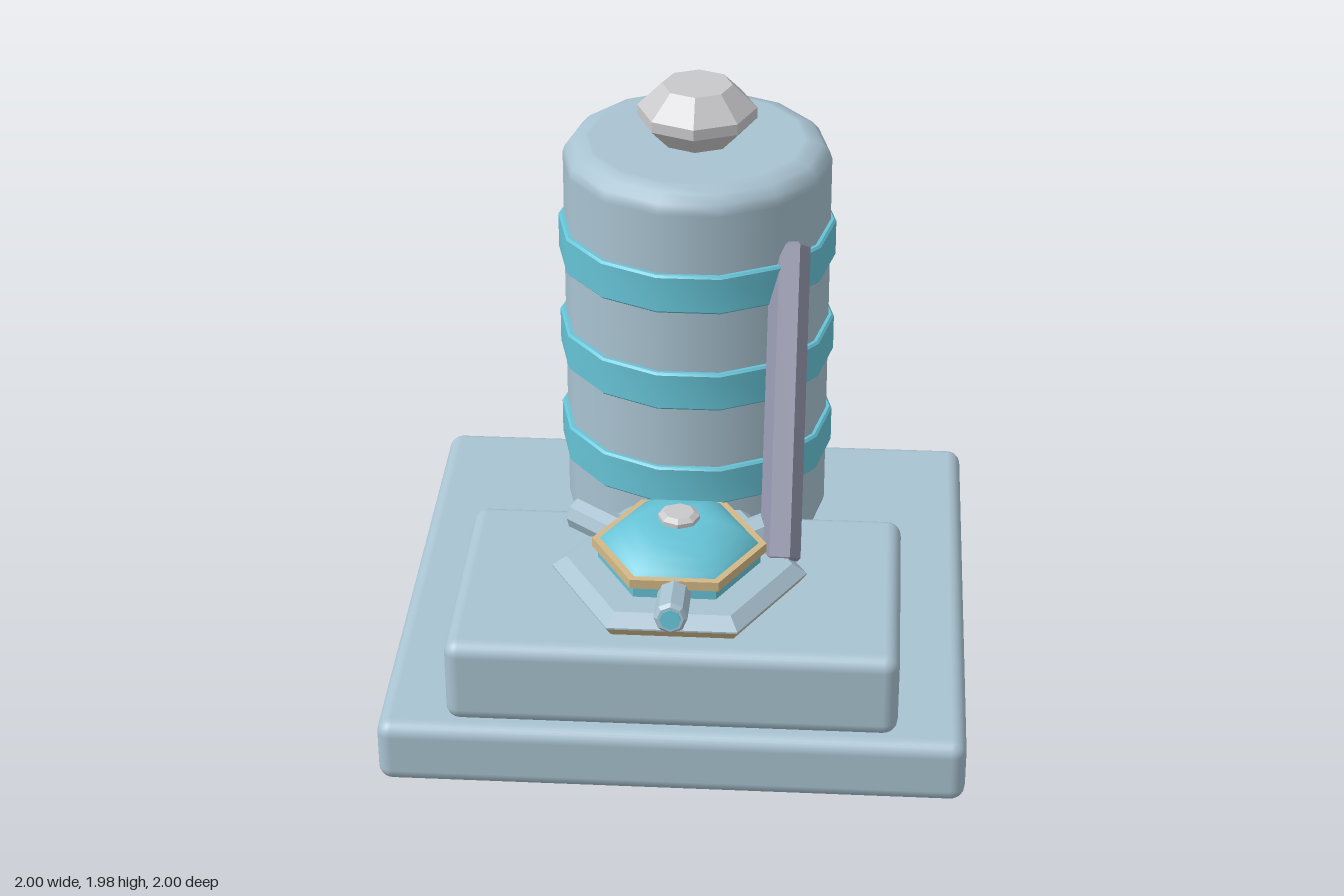
import * as THREE from 'three';
import { RoundedBoxGeometry } from 'three/addons/geometries/RoundedBoxGeometry.js';
import { toCreasedNormals } from 'three/addons/utils/BufferGeometryUtils.js';

const makeMaterial = (name, color) => {
  const m = new THREE.MeshStandardMaterial({ color });
  m.name = name;
  return m;
};

export function createModel() {
  const root = new THREE.Group();
  root.name = 'pumpStation';

  const casing = makeMaterial('pale blue casing', 0xa9c3d1);
  const teal = makeMaterial('teal', 0x66c3d6);
  const silver = makeMaterial('silver', 0xc9c9cc);
  const steel = makeMaterial('violet steel', 0x9193a9);
  const brass = makeMaterial('brass', 0xd3b988);

  const add = (parent, name, geometry, material, x = 0, y = 0, z = 0) => {
    const mesh = new THREE.Mesh(geometry, material);
    mesh.name = name;
    mesh.position.set(x, y, z);
    parent.add(mesh);
    return mesh;
  };

  // Profile of [radius, height] pairs turned with a corner on the x axis
  const turn = (profile, sides) => new THREE.LatheGeometry(
    profile.map(([r, y]) => new THREE.Vector2(r, y)), sides, Math.PI / 2);
  const faceted = (profile, sides) => toCreasedNormals(turn(profile, sides), 0.15);

  // Stepped foundation
  add(root, 'basePlate', new RoundedBoxGeometry(2, 0.235, 2, 3, 0.05), casing, 0, 0.1175, 0);
  add(root, 'plinth', new RoundedBoxGeometry(1.53, 0.31, 0.92, 3, 0.05), casing, 0, 0.388, 0.5);

  // Tank with rounded ends
  const tank = new THREE.Group();
  tank.name = 'tank';
  tank.position.z = -0.485;
  root.add(tank);
  add(tank, 'tankBody', turn([
    [0, 0.235], [0.385, 0.235], [0.4, 0.236], [0.45, 0.255], [0.475, 0.285], [0.48, 0.305],
    [0.48, 0.32], [0.48, 1.685], [0.48, 1.7], [0.472, 1.725], [0.445, 1.755], [0.4, 1.769],
    [0.385, 1.77], [0, 1.77],
  ], 14), casing);

  // Hoops around the tank
  for (const y of [0.62, 1.005, 1.39]) {
    add(tank, 'tankBand', toCreasedNormals(turn([
      [0.47, -0.073], [0.492, -0.073], [0.5, -0.065], [0.5, 0.065], [0.492, 0.073], [0.47, 0.073],
    ], 14), 0.6), teal, 0, y, 0);
  }

  // Faceted cap on the tank
  add(tank, 'tankCap', faceted([
    [0, 1.765], [0.13, 1.765], [0.212, 1.85], [0.212, 1.89], [0.125, 1.975], [0, 1.975],
  ], 8), silver);

  // Valve on a hexagonal flange
  const valve = new THREE.Group();
  valve.name = 'valve';
  valve.position.z = 0.495;
  root.add(valve);
  add(valve, 'flangeUnderside', faceted([
    [0, 0.535], [0.405, 0.535], [0.44, 0.578], [0, 0.578]], 6), brass);
  add(valve, 'flange', faceted([
    [0.42, 0.578], [0.44, 0.578], [0.44, 0.584], [0.39, 0.622], [0, 0.622]], 6), casing);
  add(valve, 'valveBody', faceted([[0.28, 0.615], [0.28, 0.67]], 6), teal);
  add(valve, 'valveRim', faceted([
    [0.26, 0.666], [0.3, 0.666], [0.3, 0.7], [0.26, 0.7]], 6), brass);
  add(valve, 'valveDome', turn([
    [0.277, 0.695], [0.26, 0.715], [0.22, 0.745], [0.16, 0.775], [0.1, 0.785], [0, 0.785],
  ], 6), teal);
  add(valve, 'valveButton', faceted([
    [0.05, 0.78], [0.072, 0.79], [0.072, 0.805], [0.052, 0.817], [0, 0.817]], 8), silver);

  // Three nozzles, tipped slightly upward
  for (let i = 0; i < 3; i++) {
    const arm = new THREE.Group();
    arm.name = 'nozzle';
    arm.rotation.y = i * Math.PI * 2 / 3;
    valve.add(arm);
    const spout = new THREE.Group();
    spout.name = 'spout';
    spout.position.set(0, 0.637, 0.2);
    spout.rotation.x = Math.PI / 2 - 0.13;
    arm.add(spout);
    add(spout, 'nozzlePipe', faceted([
      [0.057, 0], [0.057, 0.235], [0.045, 0.247], [0, 0.247]], 8), casing);
    add(spout, 'nozzleTip', faceted([
      [0.036, 0.246], [0.036, 0.252], [0, 0.252]], 8), teal);
  }

  // Slanted pipe leaning from the flange to the tank
  const foot = new THREE.Vector3(0.345, 0.583, 0.42);
  const head = new THREE.Vector3(0.345, 1.5, -0.205);
  const length = foot.distanceTo(head);
  const pipe = add(root, 'slantedPipe', faceted([
    [0, 0], [0.06, 0], [0.071, 0.012], [0.071, length - 0.012], [0.06, length], [0, length],
  ], 6), steel);
  pipe.position.copy(foot);
  pipe.quaternion.setFromUnitVectors(
    new THREE.Vector3(0, 1, 0), head.clone().sub(foot).normalize());

  return root;
}
